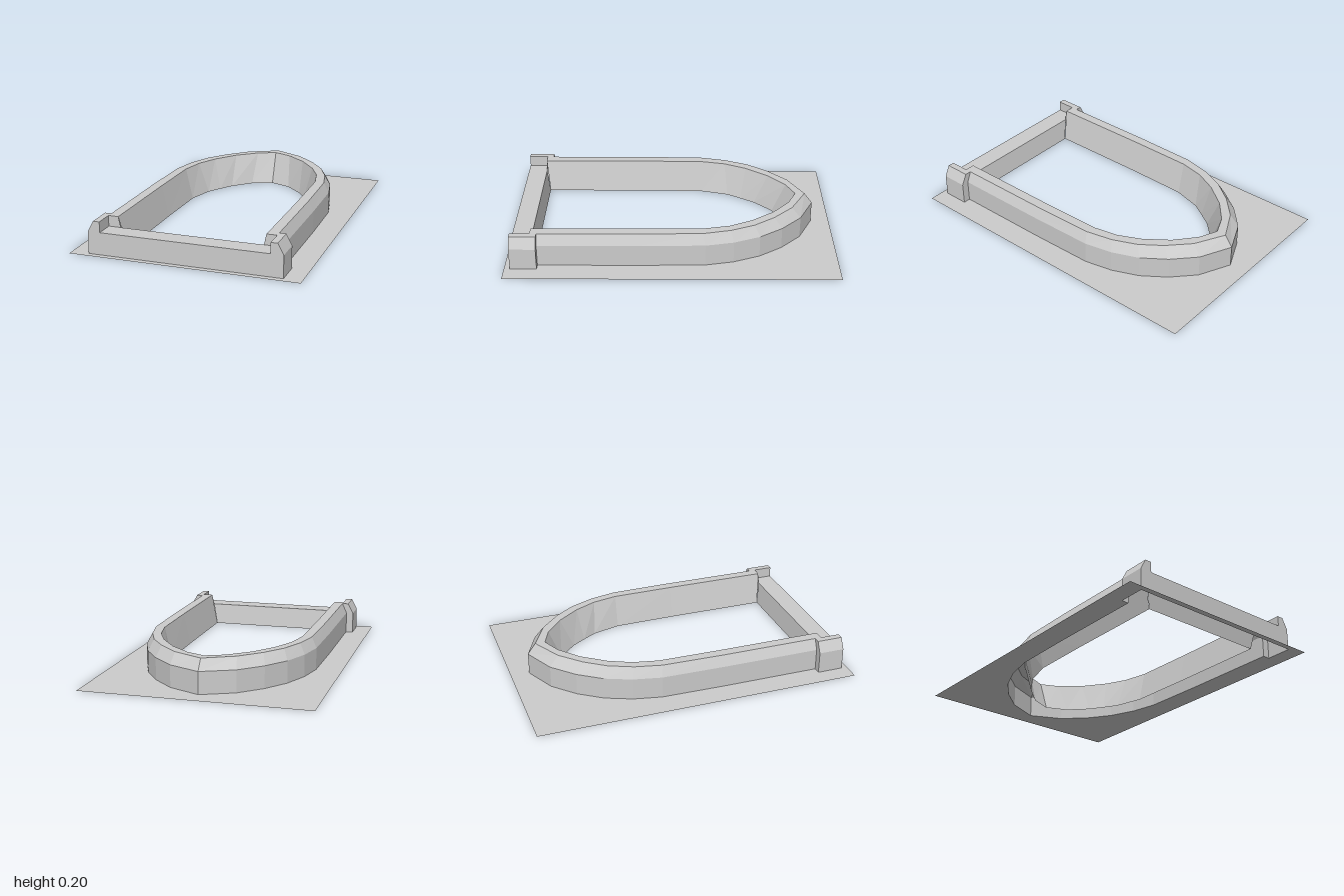
import * as THREE from 'three';

const material = new THREE.MeshStandardMaterial({
  color: 0xcccccc, flatShading: true, side: THREE.DoubleSide,
});

function addMesh(group, name, geometry) {
  const mesh = new THREE.Mesh(geometry, material);
  mesh.name = name;
  group.add(mesh);
  return mesh;
}

// Skin of quads between successive rows of [x, y, z] points
function loft(rows) {
  const pos = [];
  for (let r = 0; r + 1 < rows.length; r++) {
    for (let i = 0; i + 1 < rows[r].length; i++) {
      const a = rows[r][i], b = rows[r][i + 1];
      const c = rows[r + 1][i], d = rows[r + 1][i + 1];
      pos.push(...a, ...b, ...d, ...a, ...d, ...c);
    }
  }
  const geometry = new THREE.BufferGeometry();
  geometry.setAttribute('position', new THREE.Float32BufferAttribute(pos, 3));
  geometry.computeVertexNormals();
  return geometry;
}

// Flat upright face from [x, y] corners
function face(points, z) {
  const shape = new THREE.Shape(points.map(([x, y]) => new THREE.Vector2(x, y)));
  return new THREE.ShapeGeometry(shape).translate(0, 0, z);
}

// Left half of an arch, ending at the apex, completed by its mirror image
const mirrored = (half) => [...half, ...half.slice(0, -1).reverse().map(([x, z]) => [-x, z])];

// Plan outlines of the pointed arch as [x, z]
const outer = mirrored([[0.54, 0.805], [0.54, 0.2], [0.533, -0.2], [0.497, -0.37],
  [0.43, -0.53], [0.33, -0.67], [0.197, -0.795], [0, -0.885]]);
const topOuter = mirrored([[0.51, 0.845], [0.51, 0.2], [0.502, -0.185], [0.465, -0.35],
  [0.402, -0.495], [0.31, -0.62], [0.185, -0.74], [0, -0.835]]);
const topInner = mirrored([[0.448, 0.845], [0.448, 0.2], [0.443, -0.19], [0.41, -0.345],
  [0.345, -0.48], [0.24, -0.62], [0.115, -0.725], [0, -0.775]]);
const inner = mirrored([[0.405, 0.825], [0.405, 0.2], [0.398, -0.19], [0.35, -0.365],
  [0.298, -0.45], [0.242, -0.535], [0.132, -0.645], [0, -0.7]]);

const TOP = 0.2, LEDGE = 0.135;
const BACK = 0.805, NOTCH = 0.845, FRONT = 0.965;

export function createModel() {
  const group = new THREE.Group();

  // Thin wall plate, cut out along the foot of the frame
  const plate = new THREE.Shape();
  plate.moveTo(-0.692, -1).lineTo(0.692, -1).lineTo(0.692, 1).lineTo(-0.692, 1).closePath();
  const footprint = [[0.585, FRONT], [0.585, BACK], ...outer, [-0.585, BACK], [-0.585, FRONT]];
  plate.holes.push(new THREE.Path(footprint.map(([x, z]) => new THREE.Vector2(x, -z))));
  addMesh(group, 'wallPlate', new THREE.ShapeGeometry(plate).rotateX(-Math.PI / 2));

  // Arched frame: upright side, bevel, flat top, splayed reveal
  const at = (outline, y) => outline.map(([x, z]) => [x, y, z]);
  addMesh(group, 'archFrame', loft([
    at(outer, 0), at(outer, LEDGE), at(topOuter, TOP), at(topInner, TOP), at(inner, 0),
  ]));

  // Sill: front face with raised ends, ledge and sloped inner face
  const end = [[0.585, 0], [0.585, LEDGE], [0.55, TOP], [0.51, TOP], [0.51, LEDGE]];
  const sill = new THREE.Group();
  sill.name = 'sill';
  group.add(sill);
  addMesh(sill, 'sillFront',
    face([...end, ...end.map(([x, y]) => [-x, y]).reverse()], FRONT));
  addMesh(sill, 'sillLedge', loft([
    [[-0.51, LEDGE, FRONT], [0.51, LEDGE, FRONT]],
    [[-0.51, LEDGE, NOTCH], [0.51, LEDGE, NOTCH]],
  ]));
  addMesh(sill, 'sillInnerFace', loft([
    [[-0.434, LEDGE, NOTCH], [0.434, LEDGE, NOTCH]],
    [[-0.405, 0, 0.825], [0.405, 0, 0.825]],
  ]));

  // Raised sill ends and the jamb faces beside the notch
  for (const s of [1, -1]) {
    const row = (points, z) => points.map(([x, y]) => [s * x, y, z]);
    const ordered = (a, b) => (s > 0 ? loft([a, b]) : loft([b, a]));
    const skin = end.slice(0, 4);
    const cheek = new THREE.Group();
    cheek.name = s > 0 ? 'leftSillEnd' : 'rightSillEnd';
    sill.add(cheek);
    addMesh(cheek, 'endSkin', ordered(row(skin, BACK), row(skin, FRONT)));
    addMesh(cheek, 'notchSide', ordered(row(end.slice(3), NOTCH), row(end.slice(3), FRONT)));
    const backFace = [[0.54, 0], [0.585, 0], [0.585, LEDGE], [0.55, TOP], [0.51, TOP], [0.54, LEDGE]];
    // Mirrored in x so that it faces backwards
    const back = face(backFace.map(([x, y]) => [-s * x, y]), 0).rotateY(Math.PI);
    addMesh(cheek, 'endBack', back.translate(0, 0, BACK));
    addMesh(cheek, 'jambFace', face(
      [[0.434, LEDGE], [0.51, LEDGE], [0.51, TOP], [0.448, TOP]].map(([x, y]) => [s * x, y]), NOTCH));
  }

  return group;
}
